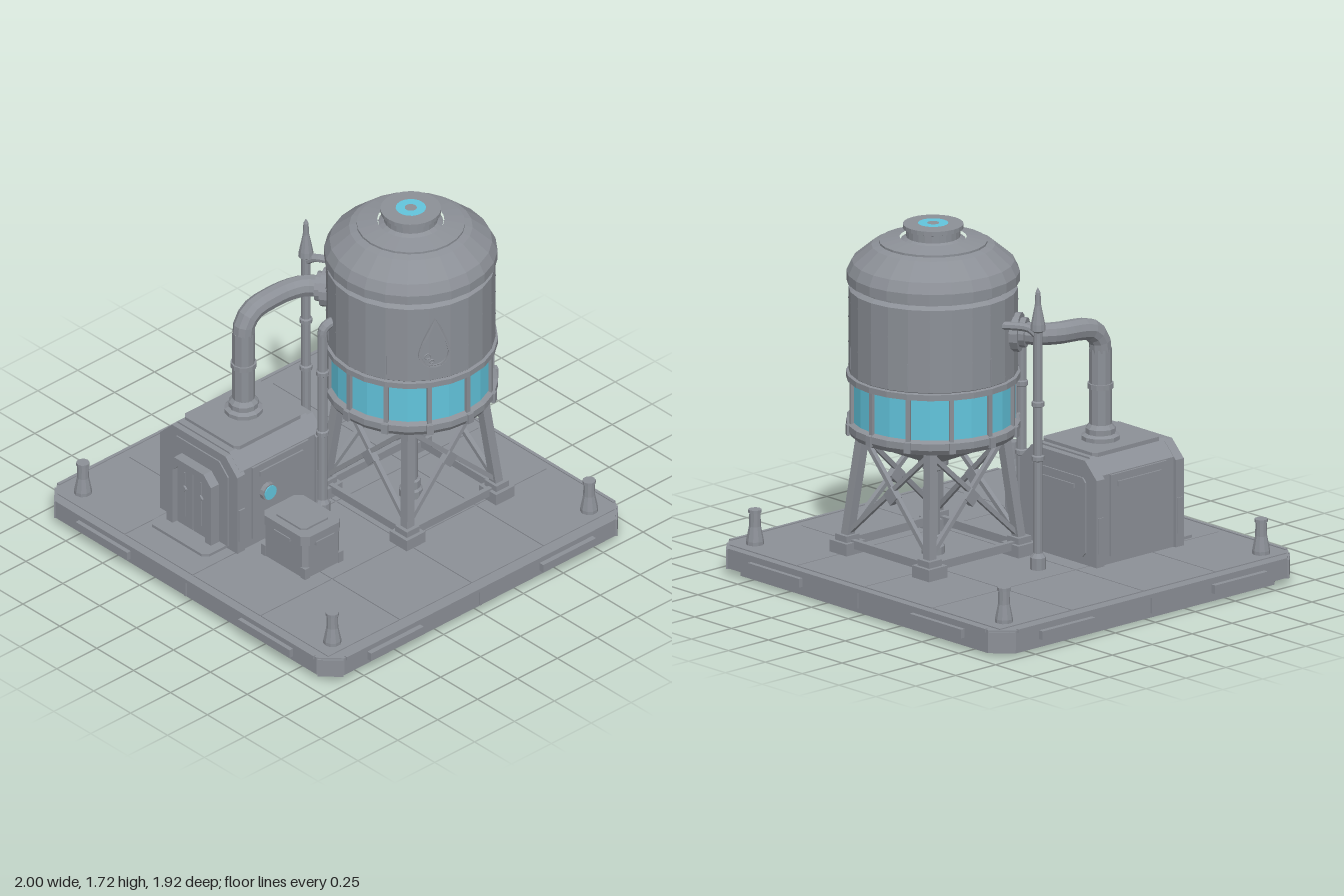
import * as THREE from 'three';

export function createModel() {
  const model = new THREE.Group();
  model.name = 'waterTower';
  const grey = new THREE.MeshStandardMaterial({ color: 0x8c9097 });
  grey.name = 'steelGrey';
  const teal = new THREE.MeshStandardMaterial({ color: 0x62c4dc });
  teal.name = 'waterTeal';

  // Helpers: every part is faceted
  const add = (parent, name, geo, x = 0, y = 0, z = 0, mat = grey) => {
    const g = geo.index ? geo.toNonIndexed() : geo;
    g.computeVertexNormals();
    const m = new THREE.Mesh(g, mat);
    m.name = name;
    m.position.set(x, y, z);
    parent.add(m);
    return m;
  };
  const group = (name, parent = model) => {
    const g = new THREE.Group();
    g.name = name;
    parent.add(g);
    return g;
  };
  // Box given by its limits on each axis
  const box = (p, name, x0, x1, y0, y1, z0, z1, mat) =>
    add(p, name, new THREE.BoxGeometry(x1 - x0, y1 - y0, z1 - z0), (x0 + x1) / 2, (y0 + y1) / 2, (z0 + z1) / 2, mat);
  const lathe = (p, name, pts, sides, x = 0, z = 0, mat) =>
    add(p, name, new THREE.LatheGeometry(pts.map(([r, y]) => new THREE.Vector2(r, y)), sides), x, 0, z, mat);
  const tube = (p, name, pts, r, seg, sides = 10) =>
    add(p, name, new THREE.TubeGeometry(new THREE.CatmullRomCurve3(pts.map(a => new THREE.Vector3(...a))), seg, r, sides));
  const beam = (p, name, a, b, w, d = w) => {
    const A = new THREE.Vector3(...a), B = new THREE.Vector3(...b);
    const dir = B.clone().sub(A);
    const m = add(p, name, new THREE.BoxGeometry(w, dir.length(), d));
    m.position.copy(A).add(B).multiplyScalar(0.5);
    m.quaternion.setFromUnitVectors(new THREE.Vector3(0, 1, 0), dir.normalize());
    return m;
  };
  // Rectangle with separate chamfers for lower and upper corners
  const cutRect = (x0, x1, y0, y1, low, top) => new THREE.Shape([
    [x0 + low, y0], [x1 - low, y0], [x1, y0 + low], [x1, y1 - top],
    [x1 - top, y1], [x0 + top, y1], [x0, y1 - top], [x0, y0 + low],
  ].map(a => new THREE.Vector2(...a)));
  const extrude = (s, depth) => new THREE.ExtrudeGeometry(s, { depth, bevelEnabled: false });
  const slab = (p, name, hx, hz, cut, y0, y1, x = 0, z = 0) =>
    add(p, name, extrude(cutRect(-hx, hx, -hz, hz, cut, cut), y1 - y0).rotateX(-Math.PI / 2), x, y0, z);

  // Platform with rim plates, floor tiles and corner posts
  const base = group('platform');
  slab(base, 'platformFoot', 0.93, 0.9, 0.09, 0, 0.045);
  slab(base, 'platformBody', 0.975, 0.94, 0.09, 0.035, 0.128);
  for (let i = 0; i < 4; i++) for (let j = 0; j < 4; j++) {
    const x = -0.69 + i * 0.46, z = -0.675 + j * 0.45;
    box(base, 'floorTile', x - 0.227, x + 0.227, 0.12, 0.133, z - 0.222, z + 0.222);
  }
  for (const s of [-1, 1]) {
    box(base, 'rimStrip', -0.87, 0.87, 0.115, 0.133, s * 0.94 - 0.008, s * 0.94 + 0.008);
    box(base, 'rimStrip', s * 0.975 - 0.008, s * 0.975 + 0.008, 0.115, 0.133, -0.84, 0.84);
    box(base, 'rimSeam', -0.006, 0.006, 0.04, 0.13, s * 0.94 - 0.008, s * 0.94 + 0.008);
    box(base, 'rimSeam', s * 0.975 - 0.008, s * 0.975 + 0.008, 0.04, 0.13, -0.006, 0.006);
    for (const t of [-1, 1]) {
      box(base, 'rimPlate', t * 0.55 - 0.175, t * 0.55 + 0.175, 0.058, 0.1, s * 0.95 - 0.012, s * 0.95 + 0.012);
      box(base, 'rimPlate', s * 0.986 - 0.014, s * 0.986 + 0.014, 0.058, 0.1, t * 0.54 - 0.165, t * 0.54 + 0.165);
      const guard = add(base, 'cornerGuard', new THREE.BoxGeometry(0.12, 0.09, 0.03), s * 0.925, 0.075, t * 0.89);
      guard.rotation.y = s * t * Math.PI / 4;
      lathe(base, 'cornerPost', [[0, 0.13], [0.042, 0.13], [0.042, 0.15], [0.028, 0.22], [0.026, 0.285],
        [0.031, 0.285], [0.031, 0.3], [0, 0.3]], 10, s * 0.845, t * 0.805);
    }
  }

  // Tank shell
  const tower = group('tower');
  tower.position.set(0.188, 0, -0.295);
  lathe(tower, 'tankFunnel', [[0, 0.56], [0.07, 0.56], [0.07, 0.585], [0.365, 0.715]], 24);
  lathe(tower, 'lowerRing', [[0.34, 0.705], [0.385, 0.715], [0.402, 0.74], [0.402, 0.772], [0.375, 0.785]], 24);
  lathe(tower, 'waterWindow', [[0.378, 0.77], [0.378, 0.99]], 24, 0, 0, teal);
  lathe(tower, 'upperRing', [[0.375, 0.977], [0.402, 0.98], [0.402, 1.008], [0.385, 1.012]], 24);
  lathe(tower, 'tankBody', [[0.375, 1.0], [0.39, 1.015], [0.39, 1.41], [0.365, 1.425], [0.365, 1.435], [0.4, 1.445],
    [0.4, 1.49], [0.375, 1.54], [0.285, 1.615], [0.25, 1.625], [0.25, 1.635], [0.155, 1.652]], 24);
  lathe(tower, 'tankCap', [[0.15, 1.64], [0.125, 1.655], [0.125, 1.69], [0.14, 1.695], [0.14, 1.715], [0, 1.715]], 24);
  add(tower, 'capLight', new THREE.RingGeometry(0.028, 0.07, 20).rotateX(-Math.PI / 2), 0, 1.718, 0, teal);
  for (let i = 0; i < 12; i++) {
    const arm = group('windowRib', tower);
    arm.rotation.y = i * Math.PI / 6;
    box(arm, 'mullion', -0.011, 0.011, 0.77, 0.985, 0.37, 0.392);
    box(arm, 'ringBracket', -0.016, 0.016, 0.725, 0.775, 0.385, 0.41);
    // Thin shell seams between the cladding plates
    if (i % 2) box(arm, 'shellSeam', -0.003, 0.003, 1.04, 1.15, 0.384, 0.392);
  }
  for (const [y, start] of [[1.04, 0], [1.15, 1], [1.27, 0], [1.36, 1]]) for (let k = 0; k < 4; k++)
    add(tower, 'shellBand', new THREE.CylinderGeometry(0.393, 0.393, 0.007, 4, 1, true,
      (start * 2 + k * 6) * Math.PI / 12, Math.PI / 3), 0, y, 0);

  // Raised droplet outline on the shell
  const drop = (k) => [[-1, 0], [0, 1.9], [1, 0]].map(([x, y]) => [x * 0.078 * k, y * 0.1 * k]);
  const dropShape = (k, Kind) => {
    const [l, t, r] = drop(k), s = new Kind();
    s.moveTo(...t);
    s.quadraticCurveTo(l[0] * 0.75, t[1] * 0.5, ...l);
    s.absarc(0, 0, r[0], Math.PI, Math.PI * 2, false);
    s.quadraticCurveTo(r[0] * 0.75, t[1] * 0.5, ...t);
    return s;
  };
  const dropOutline = dropShape(1, THREE.Shape);
  dropOutline.holes.push(dropShape(0.83, THREE.Path));
  const droplet = group('dropletRelief', tower);
  droplet.rotation.y = Math.PI / 2 - 0.46;
  const dropGeo = extrude(dropOutline, 0.008);
  const dp = dropGeo.attributes.position;
  for (let i = 0; i < dp.count; i++) dp.setZ(i, dp.getZ(i) + Math.sqrt(0.39 ** 2 - dp.getX(i) ** 2));
  add(droplet, 'dropletOutline', dropGeo, 0, 1.165, 0);
  for (const [x, y, r] of [[-0.035, 1.15, 0.014], [-0.015, 1.12, 0.01]])
    add(droplet, 'bubble', new THREE.TorusGeometry(r, 0.003, 4, 10), x, y, 0.392);

  // Support frame: one side repeated around the tank
  for (let i = 0; i < 4; i++) {
    const side = group('towerSide', tower);
    side.rotation.y = i * Math.PI / 2;
    beam(side, 'leg', [0.28, 0.2, 0.28], [0.225, 0.735, 0.225], 0.045);
    box(side, 'legFoot', 0.222, 0.338, 0.13, 0.19, 0.222, 0.338);
    box(side, 'legShoe', 0.24, 0.32, 0.19, 0.22, 0.24, 0.32);
    box(side, 'lowerBeam', -0.25, 0.25, 0.16, 0.2, 0.268, 0.292);
    for (const s of [-1, 1]) beam(side, 'crossBrace', [s * 0.27, 0.23, 0.275], [-s * 0.22, 0.69, 0.23], 0.022);
    const node = box(side, 'braceNode', -0.032, 0.032, 0.425, 0.489, 0.237, 0.27);
    node.rotation.z = Math.PI / 4;
  }
  lathe(tower, 'drainPipe', [[0.055, 0.13], [0.055, 0.17], [0.045, 0.18], [0.045, 0.22], [0.033, 0.225],
    [0.033, 0.53], [0.05, 0.54], [0.05, 0.58]], 12);

  // Pump house
  const house = group('pumpHouse');
  const front = (name, s, z0, z1) => add(house, name, extrude(s, z1 - z0), 0, 0, z0);
  front('houseBody', cutRect(-0.495, 0, 0.13, 0.64, 0, 0.075), 0.12, 0.6);
  for (const z of [0.085, 0.58]) front('houseEndFrame', cutRect(-0.51, 0.012, 0.13, 0.632, 0, 0.08), z, z + 0.05);
  front('frontPanel', cutRect(-0.455, -0.045, 0.15, 0.59, 0, 0.06), 0.62, 0.637);
  front('backPanel', cutRect(-0.44, -0.06, 0.17, 0.55, 0.02, 0.02), 0.077, 0.09);
  box(house, 'backVent', -0.37, -0.13, 0.49, 0.51, 0.07, 0.08);
  slab(house, 'roofPlate', 0.185, 0.21, 0.02, 0.635, 0.655, -0.248, 0.355);
  for (const [x, s] of [[-0.495, -1], [0, 1]]) {
    box(house, 'sidePanel', x - 0.01, x + 0.01, 0.17, 0.56, 0.18, 0.53);
    box(house, 'sideVent', x - 0.018, x + 0.018, 0.5, 0.525, 0.22, 0.49);
    for (const z of [0.11, 0.605]) box(house, 'framePad', x + s * 0.005 - 0.015, x + s * 0.005 + 0.015, 0.2, 0.37, z - 0.018, z + 0.018);
  }
  const porthole = group('porthole', house);
  porthole.position.set(0.01, 0.4, 0.443);
  porthole.rotation.z = -Math.PI / 2;
  add(porthole, 'portholeRim', new THREE.CylinderGeometry(0.045, 0.045, 0.036, 12), 0, 0.005, 0);
  add(porthole, 'portholeGlass', new THREE.CylinderGeometry(0.037, 0.037, 0.006, 12), 0, 0.025, 0, teal);

  // Doorway: surround, two leaves, handles and step
  const surround = cutRect(-0.405, -0.105, 0.13, 0.515, 0, 0.05);
  surround.holes.push(cutRect(-0.365, -0.145, 0.14, 0.48, 0, 0.04));
  front('doorSurround', surround, 0.62, 0.687);
  for (const s of [-1, 1]) {
    const x = -0.255 + s * 0.055;
    front('doorLeaf', cutRect(x - 0.052, x + 0.052, 0.14, 0.48, 0, 0.015), 0.63, 0.66);
    const handle = box(house, 'doorHandle', x - 0.012, x + 0.012, 0.343, 0.367, 0.655, 0.67);
    handle.rotation.z = Math.PI / 4;
    box(house, 'doorBar', x - 0.004, x + 0.004, 0.2, 0.44, 0.655, 0.664);
  }
  slab(house, 'doorStep', 0.193, 0.09, 0.025, 0.128, 0.147, -0.252, 0.675);

  // Main pipe from roof to tank
  const mainPipe = group('mainPipe');
  lathe(mainPipe, 'roofFlange', [[0.09, 0.65], [0.09, 0.675], [0.07, 0.685], [0.07, 0.71], [0.053, 0.73]], 12, -0.27, 0.33);
  lathe(mainPipe, 'pipeCollar', [[0.05, 0.9], [0.061, 0.9], [0.061, 0.925], [0.05, 0.925]], 12, -0.27, 0.33);
  lathe(mainPipe, 'pipeRiser', [[0.053, 0.7], [0.053, 1.09]], 10, -0.27, 0.33);
  tube(mainPipe, 'pipeElbow', [[-0.27, 1.08, 0.33], [-0.27, 1.14, 0.32], [-0.267, 1.19, 0.27], [-0.263, 1.205, 0.19],
    [-0.255, 1.21, 0.08], [-0.22, 1.215, -0.01], [-0.13, 1.22, -0.077]], 0.052, 12);
  for (const [r, d, w] of [[0.092, 0.395, 0.04], [0.07, 0.425, 0.035]]) {
    const ring = add(mainPipe, 'tankFlange', new THREE.CylinderGeometry(r, r, w, 14), 0.188 - 0.825 * d, 1.22, -0.295 + 0.566 * d);
    ring.quaternion.setFromUnitVectors(new THREE.Vector3(0, 1, 0), new THREE.Vector3(-0.825, 0, 0.566).normalize());
  }

  // Spiked vent mast with its arm
  const mast = group('ventMast');
  lathe(mast, 'mastPole', [[0.038, 0.13], [0.038, 0.19], [0.022, 0.21], [0.022, 0.65], [0.03, 0.655], [0.03, 0.675],
    [0.022, 0.68], [0.022, 0.91], [0.03, 0.915], [0.03, 0.935], [0.022, 0.94], [0.022, 1.27], [0.036, 1.28],
    [0.033, 1.31], [0.015, 1.4], [0.012, 1.46], [0, 1.485]], 10, -0.328, -0.115);
  tube(mast, 'mastArm', [[-0.328, 1.25, -0.115], [-0.29, 1.28, -0.13], [-0.24, 1.285, -0.155], [-0.18, 1.285, -0.2]], 0.02, 7, 8);

  // Slim overflow pipe
  const overflow = group('overflowPipe');
  lathe(overflow, 'overflowRiser', [[0.036, 0.13], [0.036, 0.19], [0.024, 0.21], [0.024, 0.56], [0.031, 0.565], [0.031, 0.585],
    [0.024, 0.59], [0.024, 0.89], [0.031, 0.895], [0.031, 0.915], [0.024, 0.92], [0.024, 1.12]], 10, 0.022, 0.105);
  tube(overflow, 'overflowElbow', [[0.022, 1.11, 0.105], [0.024, 1.145, 0.1], [0.03, 1.165, 0.075], [0.04, 1.17, 0.03]], 0.024, 7);

  // Supply crate
  const crate = group('crate');
  slab(crate, 'crateBody', 0.145, 0.115, 0.02, 0.13, 0.33, 0.233, 0.428);
  slab(crate, 'crateLid', 0.153, 0.123, 0.03, 0.31, 0.36, 0.233, 0.428);
  slab(crate, 'lidPanel', 0.1, 0.085, 0.02, 0.355, 0.37, 0.233, 0.428);
  for (const s of [-1, 1]) {
    box(crate, 'crateGrip', 0.18, 0.286, 0.3, 0.318, 0.428 + s * 0.123 - 0.006, 0.428 + s * 0.123 + 0.006);
    box(crate, 'crateGrip', 0.233 + s * 0.153 - 0.006, 0.233 + s * 0.153 + 0.006, 0.3, 0.318, 0.37, 0.486);
    for (const t of [-1, 1]) box(crate, 'crateCorner', 0.233 + s * 0.135 - 0.015, 0.233 + s * 0.135 + 0.015,
      0.13, 0.19, 0.428 + t * 0.105 - 0.015, 0.428 + t * 0.105 + 0.015);
  }
  return model;
}
